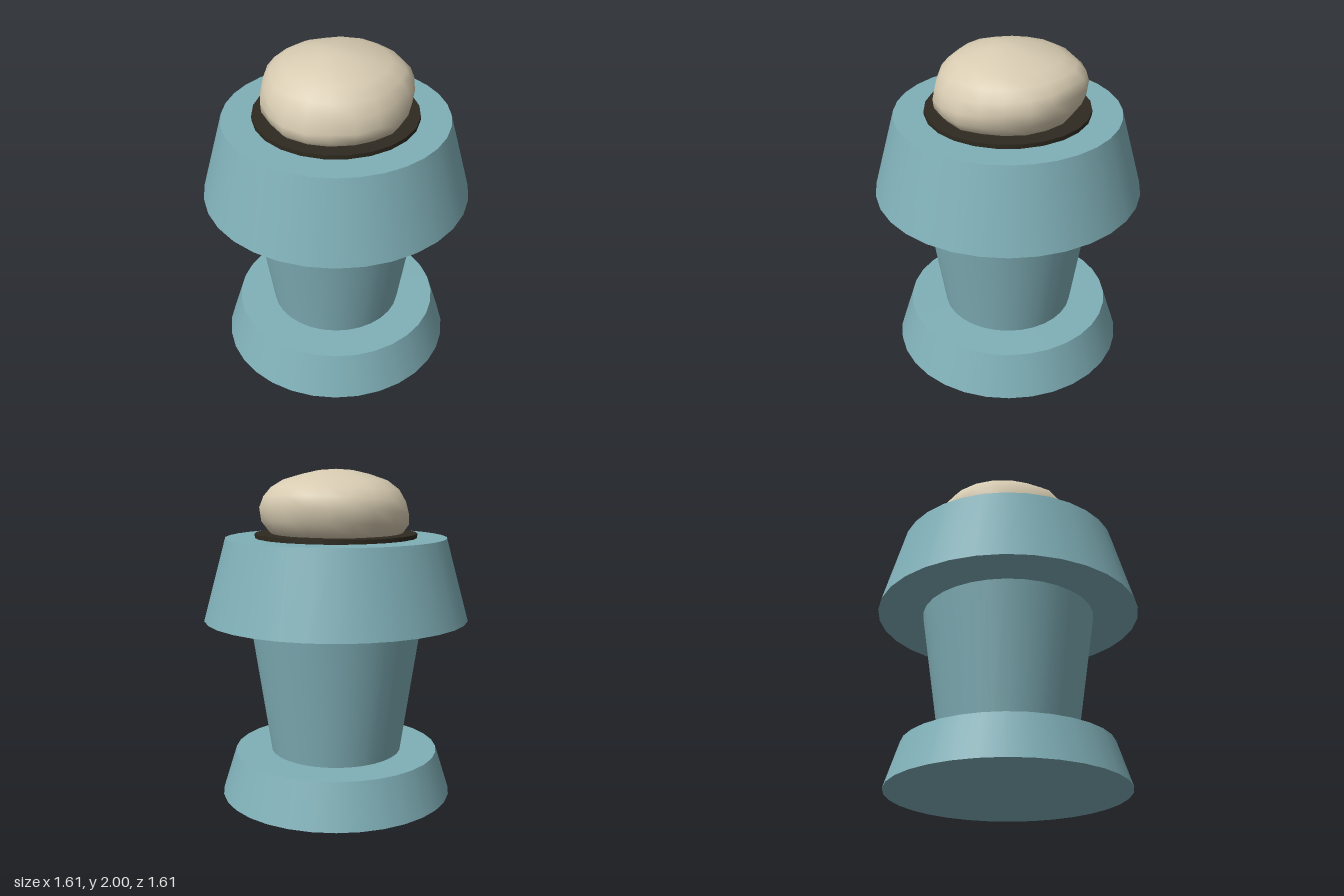
import * as THREE from 'three';
import { mergeVertices } from 'three/addons/utils/BufferGeometryUtils.js';

const teal = new THREE.MeshStandardMaterial({ name: 'teal', color: 0x80b0b8 });
const dark = new THREE.MeshStandardMaterial({ name: 'dark brown', color: 0x2e2a20 });
const stone = new THREE.MeshStandardMaterial({ name: 'pale stone', color: 0xd8ccb2 });

// Tapered round section from y0 to y1
function section(name, rBottom, rTop, y0, y1, material, sides = 32) {
  const mesh = new THREE.Mesh(new THREE.CylinderGeometry(rTop, rBottom, y1 - y0, sides), material);
  mesh.position.y = (y0 + y1) / 2;
  mesh.name = name;
  return mesh;
}

// Flattened boulder: a turned profile, pushed into an uneven outline
function boulder() {
  const profile = [
    [0, 1.56], [0.3, 1.57], [0.395, 1.62], [0.44, 1.68], [0.448, 1.75], [0.43, 1.82],
    [0.385, 1.885], [0.31, 1.935], [0.2, 1.97], [0.1, 1.993], [0, 2],
  ].map(([r, y]) => new THREE.Vector2(r, y));
  let geometry = new THREE.LatheGeometry(profile, 20);
  geometry.deleteAttribute('uv');
  geometry.deleteAttribute('normal');
  geometry = mergeVertices(geometry, 1e-4);
  const p = geometry.attributes.position;
  for (let i = 0; i < p.count; i++) {
    const x = p.getX(i), y = p.getY(i), z = p.getZ(i);
    const a = Math.atan2(x, z);
    const mid = Math.max(0, 1 - Math.abs(y - 1.77) / 0.2);
    const s = 1 + 0.015 * Math.sin(5 * a + 9 * y) + 0.012 * Math.cos(8 * a - 14 * y);
    // The widest line sits higher at the back
    p.setXYZ(i, x * s, y - 0.12 * z * mid, z * s - 0.015 * mid);
  }
  geometry.computeVertexNormals();
  const mesh = new THREE.Mesh(geometry, stone);
  mesh.name = 'boulder';
  return mesh;
}

export function createModel() {
  const model = new THREE.Group();
  model.name = 'pedestal';
  model.add(
    section('base', 0.715, 0.63, 0, 0.27, teal),
    section('column', 0.405, 0.53, 0.27, 1.105, teal),
    section('cap', 0.805, 0.67, 1.105, 1.595, teal),
    section('seatDisc', 0.49, 0.49, 1.595, 1.62, dark, 24),
    boulder(),
  );
  return model;
}
